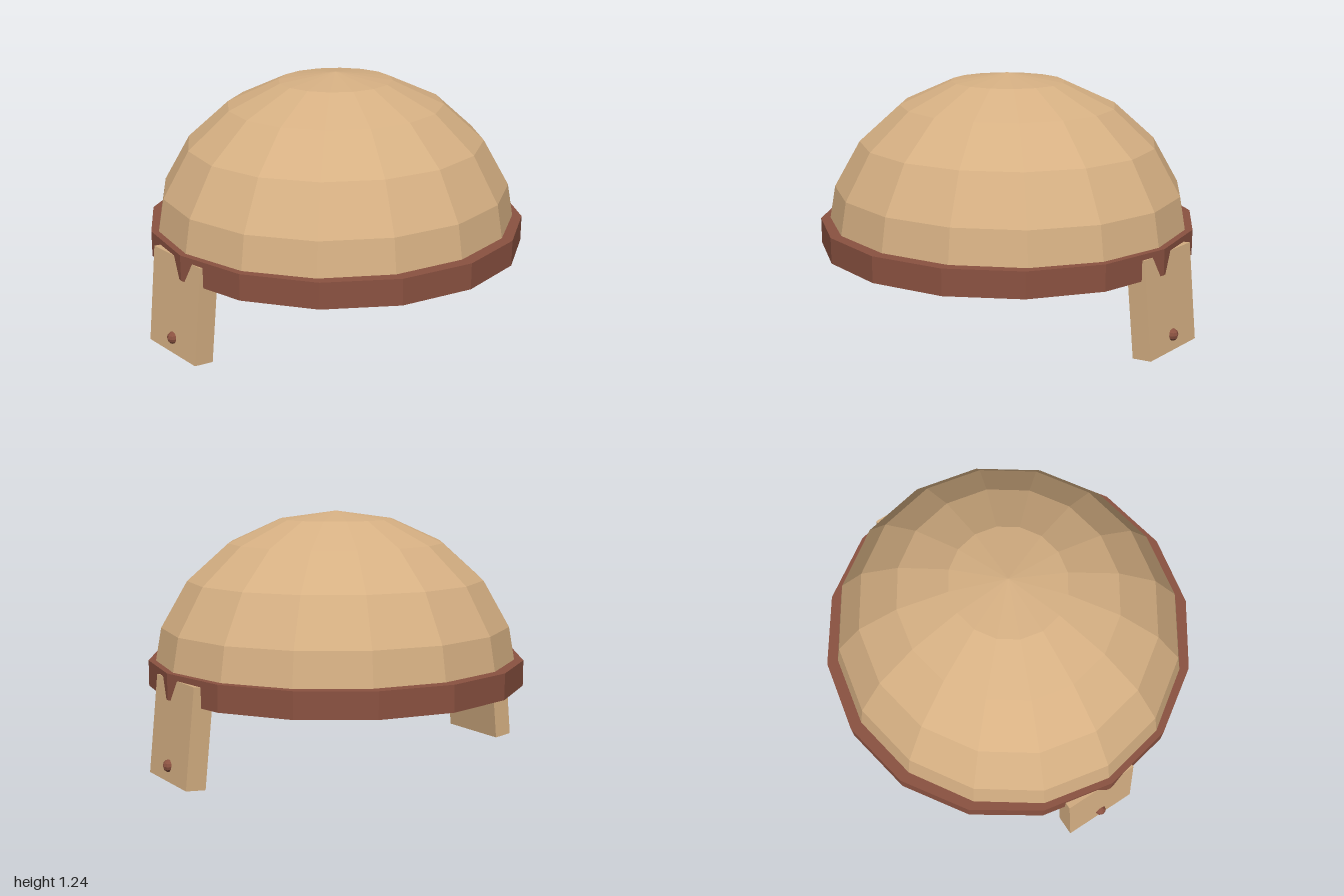
import * as THREE from 'three';

const tan = new THREE.MeshStandardMaterial({ color: 0xd6b083, flatShading: true });
tan.name = 'tan leather';
const brown = new THREE.MeshStandardMaterial({ color: 0x8b5241, flatShading: true });
brown.name = 'red brown leather';

function part(parent, name, geometry, material, x, y, z) {
  const mesh = new THREE.Mesh(geometry, material);
  mesh.name = name;
  mesh.position.set(x, y, z);
  parent.add(mesh);
  return mesh;
}

export function createModel() {
  const group = new THREE.Group();
  group.name = 'helmet';

  // Faceted half-sphere shell, a little wider than deep
  const shell = new THREE.SphereGeometry(1, 16, 5, 0, Math.PI * 2, 0, Math.PI / 2);
  shell.scale(0.93, 0.82, 0.9);
  part(group, 'dome', shell, tan, 0, 0.42, 0);

  // Closed brim band around the base
  part(group, 'brimBand', new THREE.CylinderGeometry(0.945, 0.945, 0.127, 16), brown, 0, 0.4475, 0);

  // Ear straps leaning outward at the bottom, each with a rivet
  for (const [side, s] of [['left', 1], ['right', -1]]) {
    const strap = part(group, side + 'Strap', new THREE.BoxGeometry(0.1, 0.477, 0.385), tan, s * 0.9054, 0.2425, -0.0525);
    strap.rotation.z = s * THREE.MathUtils.degToRad(6);
    part(group, side + 'Rivet', new THREE.SphereGeometry(0.03, 8, 6), brown, s * 0.97, 0.085, -0.0525);
  }
  return group;
}
